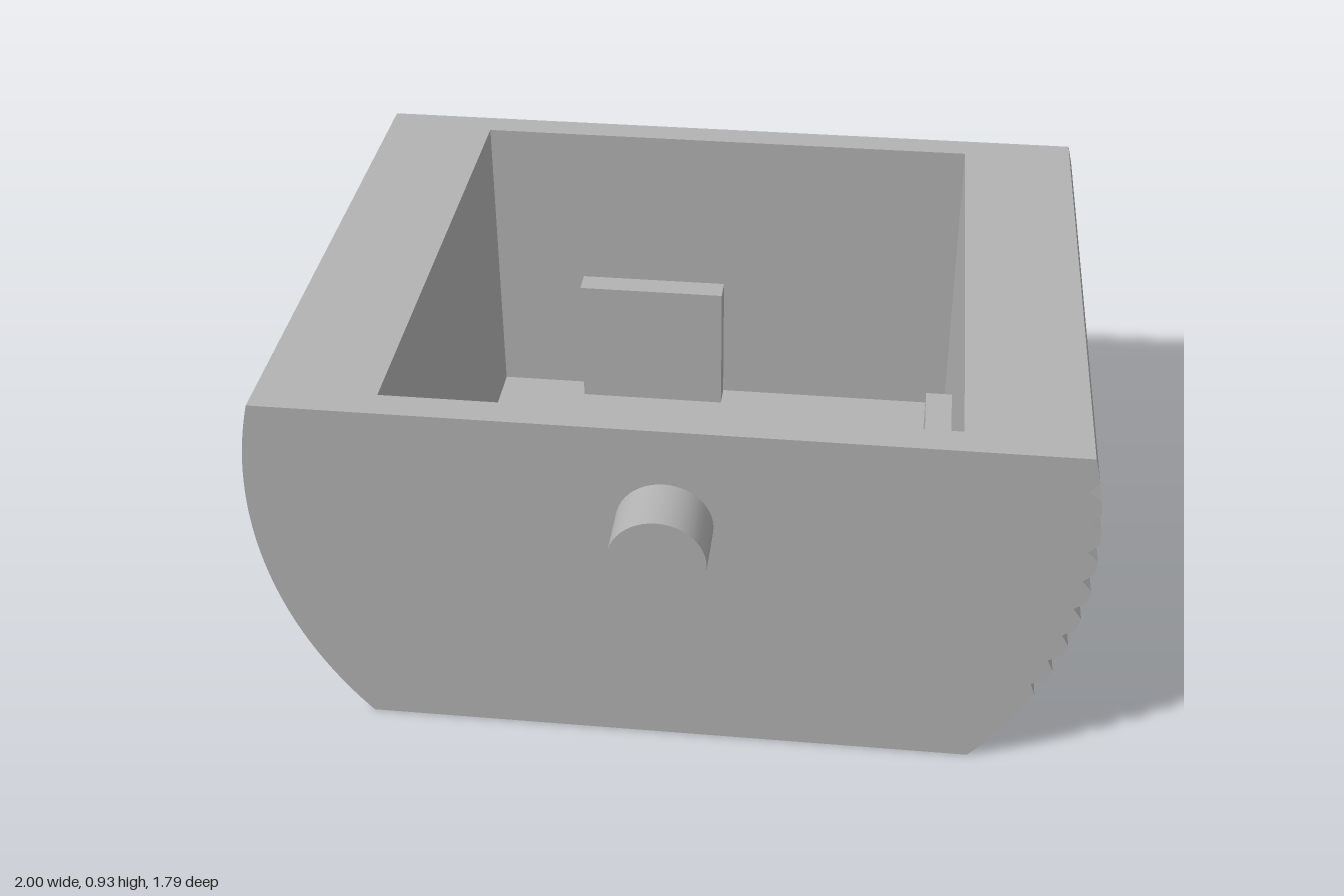
import * as THREE from 'three';
import { toCreasedNormals } from 'three/addons/utils/BufferGeometryUtils.js';

const HEIGHT = 0.925, AXIS_Y = 0.662, RADIUS = 1;
const HALF_DEPTH = 0.75, CAVITY = 0.675, FLOOR = 0.075;
const RAD = Math.PI / 180;

const polar = (angle, r = RADIUS) =>
  new THREE.Vector2(Math.cos(angle) * r, AXIS_Y + Math.sin(angle) * r);

// Outer outline from bottom left, up the grooved side, round to the smooth side
function outline() {
  const low = Math.asin(-AXIS_Y), high = Math.asin(HEIGHT - AXIS_Y);
  const points = [];
  const arc = (from, to, steps) => {
    for (let i = 0; i <= steps; i++) points.push(polar(from + (to - from) * i / steps));
  };
  // V-shaped grip grooves every five degrees
  let start = low;
  for (let deg = -25; deg <= 10; deg += 5) {
    const mid = deg * RAD, half = 1.45 * RAD;
    arc(start, mid - half, deg === -25 ? 10 : 2);
    points.push(polar(mid, 0.975));
    start = mid + half;
  }
  arc(start, high, 3);
  const grooved = points.splice(0);
  arc(high, low, 40);
  const smooth = points.map((p) => new THREE.Vector2(-p.x, p.y));
  return { grooved, smooth };
}

function extrude(points, z0, z1) {
  const geometry = new THREE.ExtrudeGeometry(new THREE.Shape(points), {
    depth: z1 - z0, bevelEnabled: false, steps: 1,
  });
  geometry.translate(0, 0, z0);
  return toCreasedNormals(geometry, 0.2);
}

export function createModel() {
  const group = new THREE.Group();
  const grey = new THREE.MeshStandardMaterial({ color: 0xb2b2b2 });
  grey.name = 'grey';

  const add = (name, geometry, x = 0, y = 0, z = 0) => {
    const mesh = new THREE.Mesh(geometry, grey);
    mesh.name = name;
    mesh.position.set(x, y, z);
    group.add(mesh);
    return mesh;
  };

  // Open-topped middle section with the floor of the cavity
  const { grooved, smooth } = outline();
  const trough = [
    new THREE.Vector2(CAVITY, HEIGHT), new THREE.Vector2(CAVITY, FLOOR),
    new THREE.Vector2(-CAVITY, FLOOR), new THREE.Vector2(-CAVITY, HEIGHT),
  ];
  add('trough', extrude([...grooved, ...trough, ...smooth], -CAVITY, CAVITY));

  // End walls and pivot pins
  for (const [side, name] of [[1, 'front'], [-1, 'back']]) {
    const z = [side * CAVITY, side * HALF_DEPTH].sort((a, b) => a - b);
    add(name + 'Wall', extrude([...grooved, ...smooth], z[0], z[1]));
    const pin = new THREE.CylinderGeometry(0.115, 0.115, 0.147, 48).rotateX(Math.PI / 2);
    add(name + 'Pin', pin, 0, AXIS_Y, side * (HALF_DEPTH + 0.0725));
  }

  // Raised blocks on the cavity walls: x range, z range
  const blockTop = 0.455;
  const blocks = [
    ['backBlock', -0.42, 0, -CAVITY, -0.607],
    ['leftBlock', 0.605, CAVITY, -0.165, 0.525],
    ['rightBlock', -CAVITY, -0.607, 0.23, 0.535],
  ];
  for (const [name, x0, x1, z0, z1] of blocks) {
    add(name, new THREE.BoxGeometry(x1 - x0, blockTop - FLOOR, z1 - z0),
      (x0 + x1) / 2, (blockTop + FLOOR) / 2, (z0 + z1) / 2);
  }
  return group;
}
